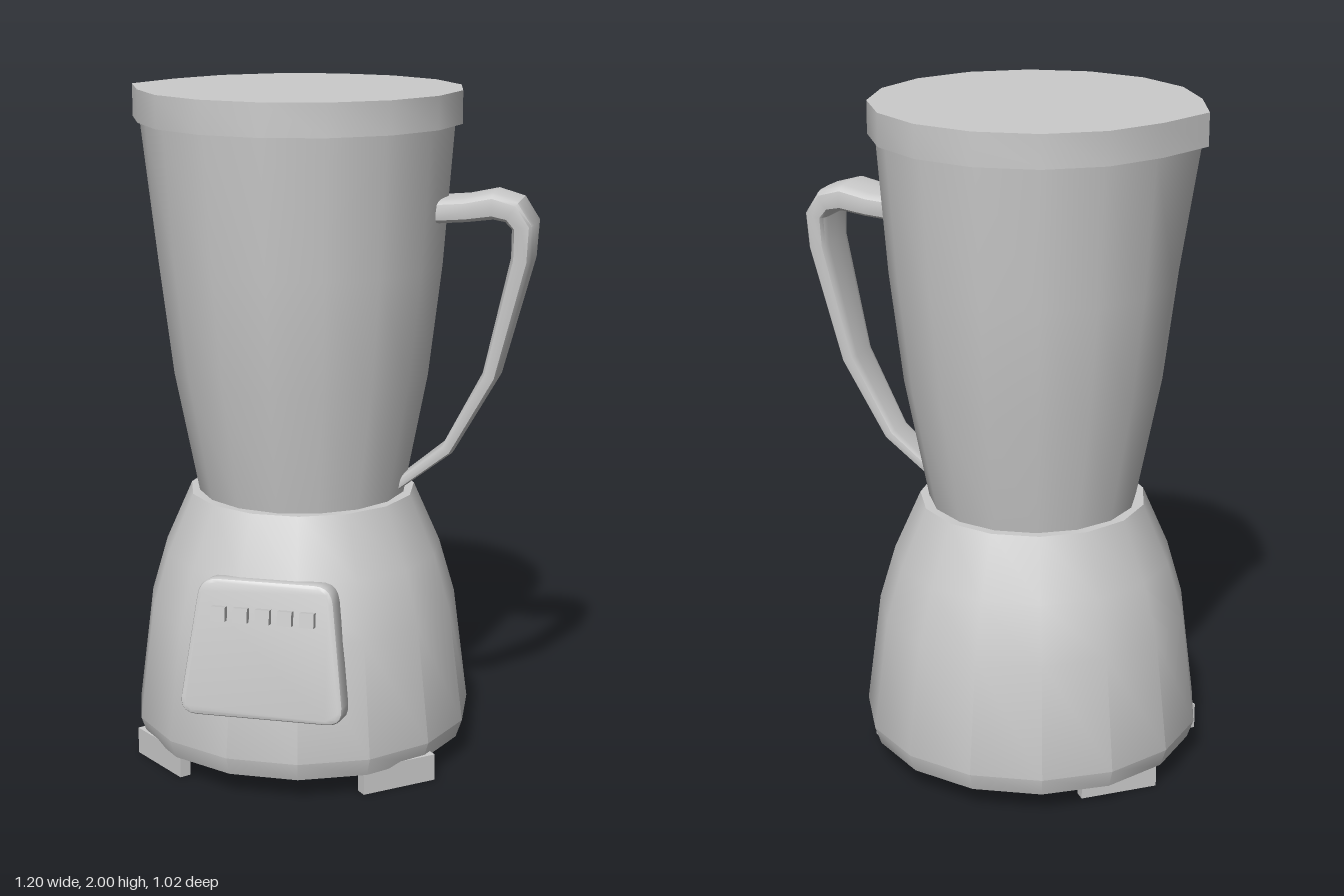
import * as THREE from 'three';
import { toCreasedNormals } from 'three/addons/utils/BufferGeometryUtils.js';

const AXIS_X = -0.094; // vertical axis of base, jar and lid

export function createModel() {
  const model = new THREE.Group();
  const material = new THREE.MeshStandardMaterial({ color: 0xcccccc });

  function add(name, geometry, parent = model) {
    const mesh = new THREE.Mesh(geometry, material);
    mesh.name = name;
    parent.add(mesh);
    return mesh;
  }

  // Turned body with an optional pouring spout pulled out towards -x
  function turned(profile, sides, spout = () => 0) {
    const points = profile.map(([r, y]) => new THREE.Vector2(r, y));
    const geometry = new THREE.LatheGeometry(points, sides, Math.PI);
    const p = geometry.attributes.position;
    for (let i = 0; i < p.count; i++) {
      if (p.getX(i) < -0.1 && Math.abs(p.getZ(i)) < 0.02) {
        p.setX(i, p.getX(i) - spout(p.getY(i)));
      }
    }
    return toCreasedNormals(geometry, 0.6).translate(AXIS_X, 0, 0);
  }

  // Motor base
  add('base', turned([
    [0, 0.065], [0.49, 0.065], [0.509, 0.12], [0.465, 0.465],
    [0.417, 0.63], [0.338, 0.81], [0, 0.81],
  ], 15));

  // Jar
  add('jar', turned([
    [0, 0.8], [0.308, 0.8], [0.38, 1.17], [0.42, 1.5], [0.452, 1.91], [0, 1.91],
  ], 16, (y) => (y > 1.6 ? 0.04 : 0)));

  // Lid
  add('lid', turned([
    [0, 1.905], [0.473, 1.905], [0.473, 2], [0, 2],
  ], 16, () => 0.038));

  // Handle
  add('handle', handleGeometry());

  // Control panel, leaning back with the base
  const panel = new THREE.Group();
  panel.name = 'controlPanel';
  panel.position.set(AXIS_X, 0.45, 0.478);
  panel.rotation.x = -0.17;
  model.add(panel);
  add('panelPlate', plateGeometry(), panel);
  for (let i = -2; i <= 2; i++) {
    const button = add('button', new THREE.BoxGeometry(0.042, 0.042, 0.05), panel);
    button.position.set(i * 0.065, 0.1, 0);
  }

  // Feet: thin bars set along the rim of the base
  for (const sx of [-1, 1]) {
    for (const [z, sz] of [[0.302, 1], [-0.228, -1]]) {
      const foot = add('foot', new THREE.BoxGeometry(0.237, 0.08, 0.035));
      foot.position.set(AXIS_X + sx * 0.356, 0.04, z);
      foot.rotation.y = sx * sz * 0.71;
    }
  }
  return model;
}

// Trapezoid plate with rounded corners, front face on z = 0
function plateGeometry() {
  const corners = [[-0.245, -0.2], [0.245, -0.2], [0.195, 0.2], [-0.195, 0.2]]
    .map(([x, y]) => new THREE.Vector2(x, y));
  const shape = new THREE.Shape();
  corners.forEach((c, i) => {
    const before = corners[(i + 3) % 4], after = corners[(i + 1) % 4];
    const from = c.clone().add(before.clone().sub(c).setLength(0.055));
    const to = c.clone().add(after.clone().sub(c).setLength(0.055));
    if (i === 0) shape.moveTo(from.x, from.y);
    else shape.lineTo(from.x, from.y);
    shape.quadraticCurveTo(c.x, c.y, to.x, to.y);
  });
  shape.closePath();
  const geometry = new THREE.ExtrudeGeometry(shape, {
    depth: 0.066, curveSegments: 5, bevelSize: 0.012, bevelOffset: -0.012,
    bevelThickness: 0.012, bevelSegments: 2,
  });
  return toCreasedNormals(geometry.translate(0, 0, -0.078), 0.6);
}

// Flat rounded band swept along the grip; stations: x, y, half thickness, half width
function handleGeometry() {
  const stations = [
    [0.3, 1.66, 0.036, 0.092], [0.4, 1.668, 0.036, 0.094], [0.48, 1.682, 0.04, 0.095],
    [0.535, 1.668, 0.038, 0.095], [0.566, 1.625, 0.034, 0.094], [0.562, 1.53, 0.031, 0.088],
    [0.477, 1.186, 0.024, 0.069], [0.352, 0.957, 0.019, 0.056], [0.2, 0.835, 0.015, 0.05],
  ];
  const sides = 16;
  const positions = [], index = [];
  const squash = (v) => Math.sign(v) * Math.sqrt(Math.abs(v));
  stations.forEach(([x, y, thick, wide], i) => {
    const a = stations[Math.max(i - 1, 0)];
    const b = stations[Math.min(i + 1, stations.length - 1)];
    const t = new THREE.Vector2(b[0] - a[0], b[1] - a[1]).normalize();
    for (let j = 0; j < sides; j++) {
      const angle = (j / sides) * Math.PI * 2;
      const n = squash(Math.cos(angle)) * thick;
      positions.push(x - t.y * n, y + t.x * n, squash(Math.sin(angle)) * wide);
      if (i < stations.length - 1) {
        const p = i * sides + j, q = i * sides + (j + 1) % sides;
        index.push(p, q, p + sides, q, q + sides, p + sides);
      }
    }
  });
  // End caps
  const last = (stations.length - 1) * sides;
  for (let j = 1; j < sides - 1; j++) {
    index.push(0, j + 1, j, last, last + j, last + j + 1);
  }
  const geometry = new THREE.BufferGeometry();
  geometry.setAttribute('position', new THREE.Float32BufferAttribute(positions, 3));
  geometry.setIndex(index);
  return toCreasedNormals(geometry, 0.7);
}
